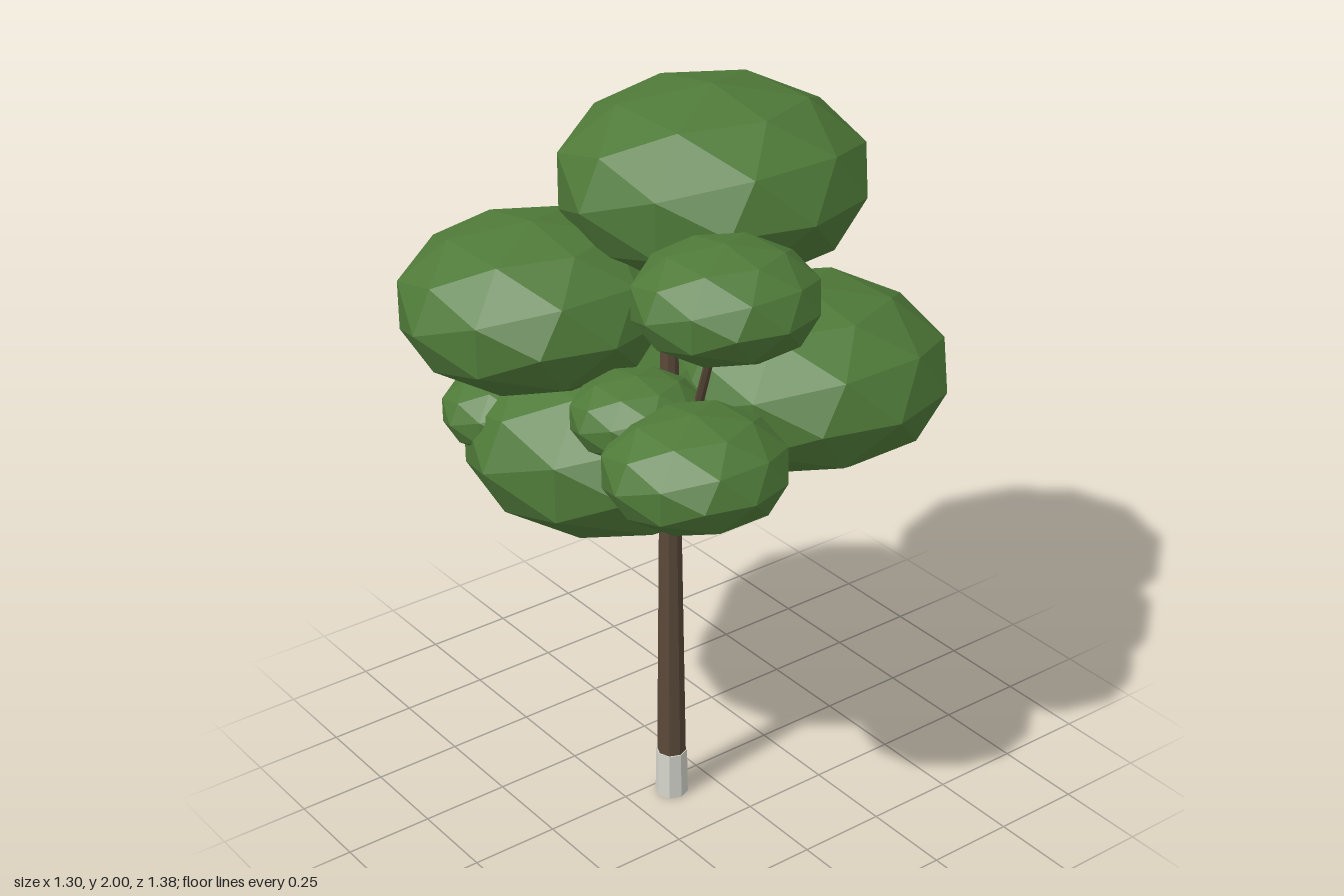
import * as THREE from 'three';

const mat = (name, color) => {
  const m = new THREE.MeshStandardMaterial({ color, flatShading: true });
  m.name = name;
  return m;
};

export function createModel() {
  const tree = new THREE.Group();
  tree.name = 'tree';
  const leafGreen = mat('leafGreen', 0x4f7a39);
  const barkBrown = mat('barkBrown', 0x5a4939);
  const limeWhite = mat('limeWhite', 0xd6d6cd);

  const add = (name, geometry, material, x, y, z) => {
    const mesh = new THREE.Mesh(geometry, material);
    mesh.name = name;
    mesh.position.set(x, y, z);
    tree.add(mesh);
    return mesh;
  };

  // Painted foot and tapering trunk
  const X = 0.05, Z = 0.125;
  add('paintedBase', new THREE.CylinderGeometry(0.044, 0.046, 0.14, 8), limeWhite, X, 0.07, Z);
  add('trunk', new THREE.CylinderGeometry(0.021, 0.041, 1.51, 8), barkBrown, X, 0.855, Z);

  // Thin branches leaving the trunk
  const up = new THREE.Vector3(0, 1, 0);
  const branch = (name, end) => {
    const start = new THREE.Vector3(X, 0.9, Z);
    const dir = end.clone().sub(start);
    const mid = start.clone().add(end).multiplyScalar(0.5);
    const mesh = add(name, new THREE.CylinderGeometry(0.01, 0.016, dir.length(), 6),
      barkBrown, mid.x, mid.y, mid.z);
    mesh.quaternion.setFromUnitVectors(up, dir.normalize());
  };
  branch('upperBranch', new THREE.Vector3(0.405, 1.69, 0.22));
  branch('lowerBranch', new THREE.Vector3(0.375, 1.235, 0.29));

  // Flattened, faceted leaf clumps: name, x, y, z, radius
  const clumps = [
    ['crownFoliage', -0.12, 1.745, -0.145, 0.425],
    ['rightFoliage', -0.28, 1.46, 0.32, 0.37],
    ['lowerFoliage', -0.12, 1.102, 0.18, 0.42],
    ['backFoliage', 0.09, 1.222, -0.287, 0.405],
    ['leftLowerFoliage', 0.375, 1.235, 0.29, 0.245],
    ['leftUpperFoliage', 0.405, 1.685, 0.22, 0.242],
    ['middleFoliage', 0.14, 1.288, 0.295, 0.18],
    ['frontFoliage', -0.295, 1.165, 0.405, 0.18],
  ];
  for (const [name, x, y, z, r] of clumps) {
    const geometry = new THREE.IcosahedronGeometry(r, 1).scale(1, 0.6, 1);
    add(name, geometry, leafGreen, x, y, z);
  }
  return tree;
}
